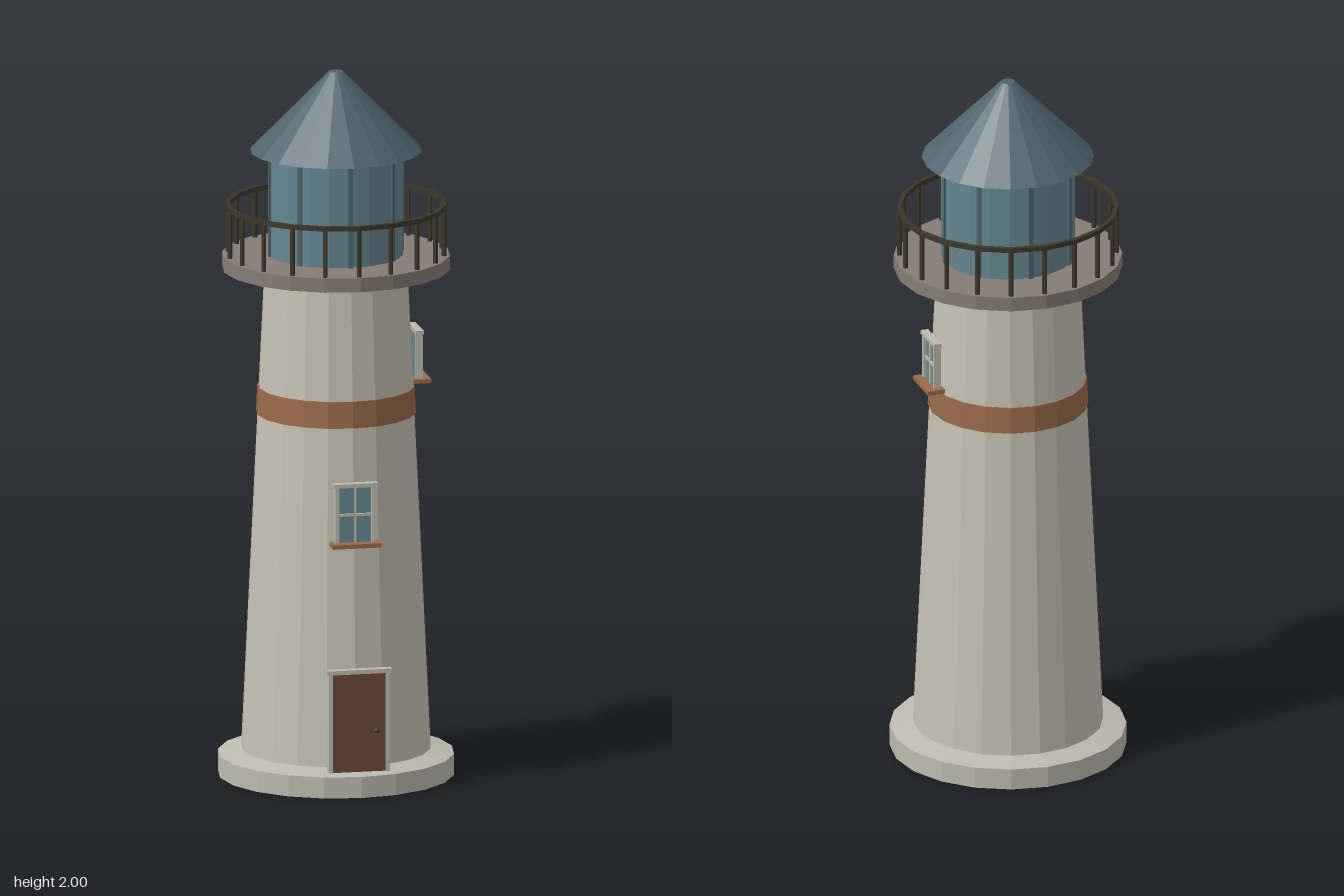
import * as THREE from 'three';

const SIDES = 20;

function makeMaterial(name, color) {
  const m = new THREE.MeshStandardMaterial({ color, flatShading: true });
  m.name = name;
  return m;
}

const wall = makeMaterial('warm white wall', 0xc6c2b3);
const stone = makeMaterial('pale stone', 0xbcbbad);
const deckGrey = makeMaterial('deck grey', 0x857c74);
const roofBlue = makeMaterial('slate blue', 0x4d646c);
const glass = makeMaterial('glass blue', 0x648690);
const iron = makeMaterial('dark iron', 0x3d3628);
const brick = makeMaterial('terracotta', 0x9a6a4a);
const wood = makeMaterial('door brown', 0x6b4736);

function add(parent, name, geometry, material, x = 0, y = 0, z = 0) {
  const mesh = new THREE.Mesh(geometry, material);
  mesh.name = name;
  mesh.position.set(x, y, z);
  parent.add(mesh);
  return mesh;
}

// Upright faceted drum between two heights
function drum(parent, name, rBottom, rTop, y0, y1, material, sides = SIDES) {
  const g = new THREE.CylinderGeometry(rTop, rBottom, y1 - y0, sides);
  return add(parent, name, g, material, 0, (y0 + y1) / 2, 0);
}

// Box given by its centre line x, height range and depth range
function block(parent, name, x, w, y0, y1, z0, z1, material) {
  const g = new THREE.BoxGeometry(w, y1 - y0, z1 - z0);
  return add(parent, name, g, material, x, (y0 + y1) / 2, (z0 + z1) / 2);
}

// Wall radius at a given height
const wallRadius = (y) => THREE.MathUtils.lerp(0.265, 0.2, (y - 0.07) / 1.37);

// Two side posts and a wider head
function surround(parent, halfWidth, y0, y1, z0, z1, t) {
  for (const s of [-1, 1]) {
    block(parent, 'framePost', s * (halfWidth - t / 2), t, y0, y1 - t, z0, z1, stone);
  }
  block(parent, 'frameHead', 0, halfWidth * 2 + 0.012, y1 - t, y1, z0, z1 + 0.002, stone);
}

// Four-pane window facing +z, placed at distance z from the axis
function makeWindow(name, halfWidth, y0, y1, z) {
  const w = new THREE.Group();
  w.name = name;
  const t = 0.011;
  surround(w, halfWidth, y0, y1, z, z + 0.02, t);
  block(w, 'pane', 0, (halfWidth - t) * 2, y0, y1 - t, z + 0.002, z + 0.011, glass);
  block(w, 'uprightBar', 0, 0.007, y0, y1 - t, z + 0.009, z + 0.016, stone);
  const mid = (y0 + y1 - t) / 2;
  block(w, 'crossBar', 0, (halfWidth - t) * 2, mid - 0.0035, mid + 0.0035, z + 0.009, z + 0.016, stone);
  block(w, 'sill', 0, halfWidth * 2 + 0.024, y0 - 0.012, y0, z - 0.008, z + 0.042, brick);
  return w;
}

export function createModel() {
  const model = new THREE.Group();
  model.name = 'lighthouse';

  // Plinth with a gently sloped top
  drum(model, 'plinth', 0.33, 0.33, 0, 0.06, stone);
  drum(model, 'plinthSlope', 0.33, 0.262, 0.06, 0.075, stone);

  // Tapered tower and painted band
  drum(model, 'tower', 0.265, 0.2, 0.07, 1.44, wall);
  drum(model, 'band', wallRadius(1.03) + 0.004, wallRadius(1.105) + 0.004, 1.03, 1.105, brick);

  // Gallery deck
  drum(model, 'galleryDeck', 0.318, 0.318, 1.44, 1.48, deckGrey);

  // Gallery railing
  const railing = new THREE.Group();
  railing.name = 'railing';
  model.add(railing);
  const section = [[0.296, 1.612], [0.309, 1.612], [0.309, 1.625], [0.296, 1.625], [0.296, 1.612]];
  const railGeo = new THREE.LatheGeometry(section.map(([r, y]) => new THREE.Vector2(r, y)), SIDES);
  add(railing, 'handrail', railGeo, iron);
  const postGeo = new THREE.CylinderGeometry(0.007, 0.007, 0.14, 6);
  for (let i = 0; i < SIDES; i++) {
    const a = (i / SIDES) * Math.PI * 2;
    add(railing, 'railPost', postGeo, iron, Math.sin(a) * 0.302, 1.547, Math.cos(a) * 0.302);
  }

  // Lantern room with glazing bars
  const lantern = new THREE.Group();
  lantern.name = 'lantern';
  model.add(lantern);
  drum(lantern, 'lanternGlass', 0.187, 0.187, 1.48, 1.775, glass);
  const barGeo = new THREE.BoxGeometry(0.013, 0.295, 0.013);
  for (let i = 0; i < 8; i++) {
    const a = (i / 8) * Math.PI * 2;
    const bar = add(lantern, 'glazingBar', barGeo, roofBlue, Math.sin(a) * 0.185, 1.6275, Math.cos(a) * 0.185);
    bar.rotation.y = a;
  }

  // Conical roof with a small flat tip
  drum(model, 'roof', 0.24, 0.02, 1.775, 2, roofBlue);

  // Door standing on the plinth
  const door = new THREE.Group();
  door.name = 'door';
  model.add(door);
  surround(door, 0.087, 0.068, 0.36, 0.284, 0.305, 0.012);
  block(door, 'doorPanel', 0, 0.152, 0.068, 0.349, 0.284, 0.3, wood);
  add(door, 'doorKnob', new THREE.SphereGeometry(0.008, 10, 8), iron, 0.05, 0.185, 0.304);

  // Front window and the smaller one on the left side
  model.add(makeWindow('frontWindow', 0.057, 0.712, 0.88, 0.237));
  const sideWindow = makeWindow('leftWindow', 0.05, 1.123, 1.26, 0.216);
  sideWindow.rotation.y = Math.PI / 2;
  model.add(sideWindow);

  return model;
}
